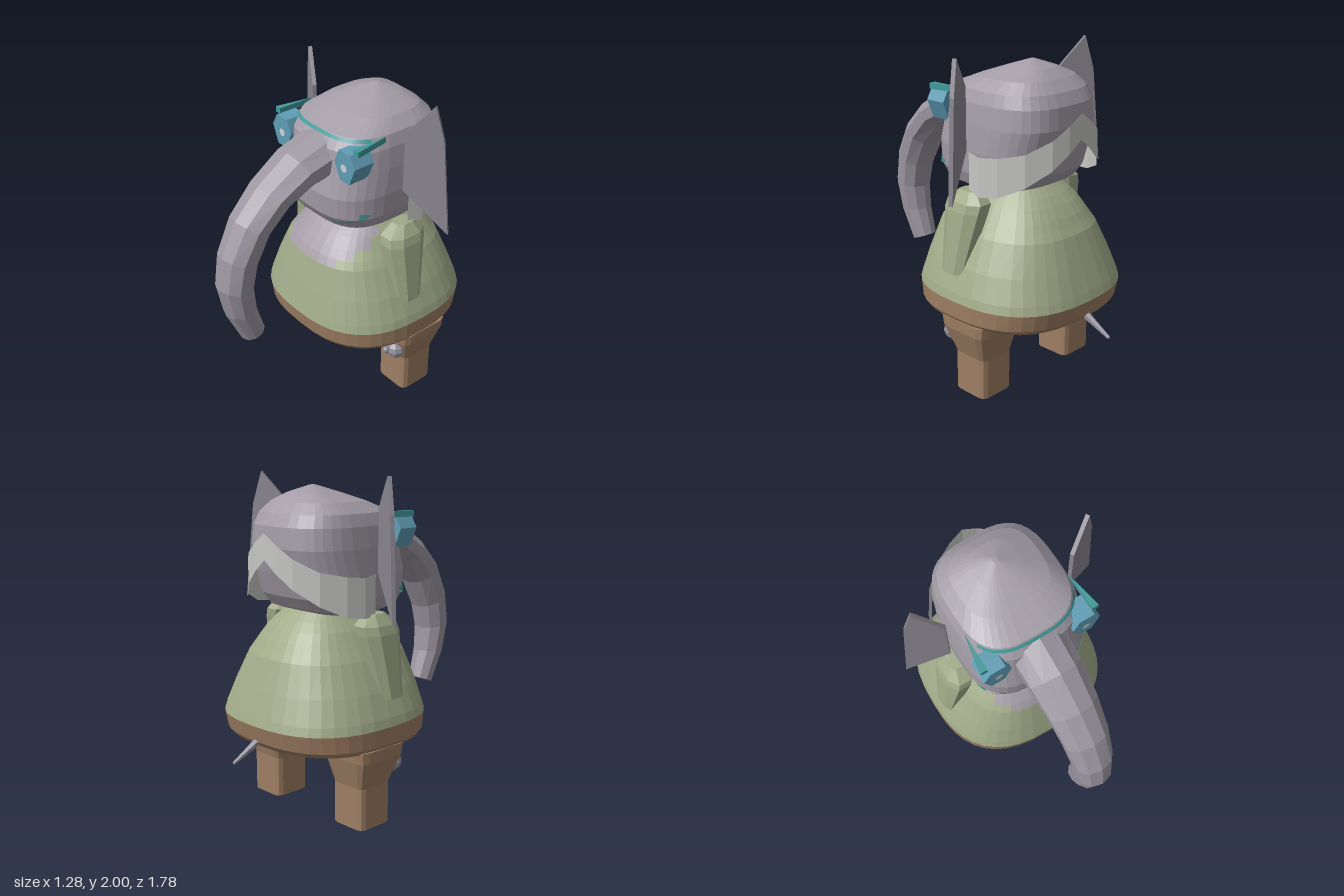
import * as THREE from 'three';

const mat = (name, color, side = THREE.FrontSide) => {
  const m = new THREE.MeshStandardMaterial({ color, side });
  m.name = name;
  return m;
};

// Closed loft through rings of Vector3; pick(row, faceCentre) gives a material index
function loft(rings, pick = () => 0, count = 1) {
  const buckets = Array.from({ length: count }, () => []);
  const add = (row, a, b, c) => {
    const mid = a.clone().add(b).add(c).divideScalar(3);
    buckets[pick(row, mid)].push(...a, ...b, ...c);
  };
  const n = rings[0].length, last = rings.length - 1;
  const centre = r => r.reduce((s, p) => s.add(p), new THREE.Vector3()).divideScalar(n);
  const lo = centre(rings[0]), hi = centre(rings[last]);
  for (let j = 0; j < n; j++) {
    const k = (j + 1) % n;
    add(0, lo, rings[0][k], rings[0][j]);
    for (let i = 0; i < last; i++) {
      const mid = rings[i][j].clone().add(rings[i + 1][k]).multiplyScalar(0.5);
      const tris = [[rings[i][j], rings[i][k], rings[i + 1][k]], [rings[i][j], rings[i + 1][k], rings[i + 1][j]]];
      for (const t of tris) buckets[pick(i, mid)].push(...t.flatMap(p => [...p]));
    }
    add(last, hi, rings[last][j], rings[last][k]);
  }
  const g = new THREE.BufferGeometry();
  g.setAttribute('position', new THREE.Float32BufferAttribute(buckets.flat(), 3));
  let start = 0;
  buckets.forEach((b, i) => { g.addGroup(start, b.length / 3, i); start += b.length / 3; });
  g.computeVertexNormals();
  return g;
}

// Point on a rounded-square section [y, halfX, frontZ, backZ]
function sectionPoint([y, hx, zf, zb], a, n, cx = 0, off = 0) {
  const p = v => Math.sign(v) * Math.abs(v) ** (2 / n);
  return new THREE.Vector3(cx + (hx + off) * p(Math.sin(a)), y, (zf + zb) / 2 + ((zf - zb) / 2 + off) * p(Math.cos(a)));
}
const ring = (sec, sides, n, cx = 0, turn = 0) =>
  Array.from({ length: sides }, (_, j) => sectionPoint(sec, turn + j / sides * Math.PI * 2, n, cx));

// Open band between pairs of points
function band(pairs) {
  const pos = [];
  for (let i = 0; i < pairs.length - 1; i++) {
    const [a, b] = pairs[i], [c, d] = pairs[i + 1];
    for (const p of [a, c, d, a, d, b]) pos.push(...p);
  }
  const g = new THREE.BufferGeometry();
  g.setAttribute('position', new THREE.Float32BufferAttribute(pos, 3));
  g.computeVertexNormals();
  return g;
}

const HEAD = [
  [1.22, 0.29, 0.11, -0.37], [1.25, 0.34, 0.2, -0.45], [1.32, 0.365, 0.245, -0.5], [1.45, 0.37, 0.255, -0.54],
  [1.6, 0.36, 0.22, -0.575], [1.72, 0.345, 0.2, -0.565], [1.79, 0.32, 0.15, -0.53], [1.85, 0.25, 0.0, -0.47],
  [1.9, 0.13, -0.14, -0.4], [1.94, 0.015, -0.26, -0.29],
];
// Point on the head surface at angle a and height y
function headPoint(a, y, off = 0.008) {
  let i = 0;
  while (i < HEAD.length - 2 && HEAD[i + 1][0] < y) i++;
  const t = (y - HEAD[i][0]) / (HEAD[i + 1][0] - HEAD[i][0]);
  return sectionPoint(HEAD[i].map((v, k) => v + (HEAD[i + 1][k] - v) * t), a, 3, 0, off);
}

export function createModel() {
  const root = new THREE.Group();
  root.name = 'elephant';
  const skin = mat('greySkin', 0xa39ca6), ear = mat('earGrey', 0x8c8790), trunkGrey = mat('trunkGrey', 0x9c96a0);
  const green = mat('greenCloth', 0xa0aa88), brown = mat('brownCloth', 0x9e7f63);
  const blue = mat('blueFrame', 0x5f9db5), teal = mat('teal', 0x419a9a, THREE.DoubleSide);
  const pale = mat('paleBand', 0xc6c6c4, THREE.DoubleSide), lens = mat('lens', 0xcfd2d2);
  const metal = mat('bluishGrey', 0x918e9b);
  const add = (name, geo, material, parent = root) => {
    const g = geo.index ? geo.toNonIndexed() : geo;
    g.computeVertexNormals();
    const m = new THREE.Mesh(g, material);
    m.name = name;
    parent.add(m);
    return m;
  };

  // Body: brown hem, green coat, bare chest
  const bodySecs = [
    [0.38, 0.01, -0.19, -0.21], [0.48, 0.535, 0.32, -0.695], [0.51, 0.555, 0.34, -0.72], [0.61, 0.558, 0.357, -0.745],
    [0.66, 0.545, 0.345, -0.73], [0.8, 0.49, 0.31, -0.68], [0.975, 0.405, 0.262, -0.615], [1.02, 0.375, 0.235, -0.585],
    [1.07, 0.34, 0.195, -0.555], [1.13, 0.3, 0.14, -0.51], [1.18, 0.25, 0.075, -0.465], [1.24, 0.19, -0.02, -0.4],
  ];
  const bodyPick = (row, c) => row < 3 ? 1 : row >= 6 && c.z > 0.3 - 1.9 * (c.y - 0.95) ? 2 : 0;
  add('body', loft(bodySecs.map(s => ring(s, 40, 2.6)), bodyPick, 3), [green, brown, skin]);

  // Head
  add('head', loft(HEAD.map(s => ring(s, 36, 3))), skin);

  // Trunk: upper and lower curve [z, y] pairs with half width
  const trunk = [
    [0.165, 1.775, 0.06, 1.51, 0.175], [0.38, 1.705, 0.265, 1.49, 0.17], [0.585, 1.57, 0.43, 1.42, 0.155],
    [0.745, 1.41, 0.56, 1.285, 0.14], [0.85, 1.21, 0.645, 1.115, 0.125], [0.885, 1.01, 0.675, 0.97, 0.115],
    [0.85, 0.81, 0.66, 0.82, 0.1], [0.755, 0.595, 0.61, 0.65, 0.08],
  ].map(([z1, y1, z2, y2, w]) => Array.from({ length: 10 }, (_, j) => {
    const a = j / 10 * Math.PI * 2, c = Math.cos(a) / 2;
    return new THREE.Vector3(-Math.sin(a) * w, (y1 + y2) / 2 + (y1 - y2) * c, (z1 + z2) / 2 + (z1 - z2) * c);
  }));
  add('trunk', loft(trunk), trunkGrey);

  // Band round the back of the head, rising to a peak: [x, z, low, high]
  const half = [
    [0.4, -0.17, 1.22, 1.46], [0.42, -0.27, 1.22, 1.45], [0.39, -0.38, 1.235, 1.46], [0.31, -0.51, 1.3, 1.49],
    [0.19, -0.6, 1.39, 1.56], [0.09, -0.632, 1.47, 1.63], [0, -0.64, 1.54, 1.69],
  ];
  const full = [...half, ...half.slice(0, -1).reverse().map(([x, ...r]) => [-x, ...r])];
  add('headBand', band(full.map(([x, z, lo, hi]) => [new THREE.Vector3(x, lo, z), new THREE.Vector3(x, hi, z)])), pale);

  // Brow stripe across the forehead
  const brow = Array.from({ length: 37 }, (_, i) => {
    const a = (i / 18 - 1) * 1.05;
    return [headPoint(a, 1.772), headPoint(a, 1.79)];
  });
  add('browStripe', band(brow), teal);

  // Tail
  const tail = add('tail', new THREE.CylinderGeometry(0.01, 0.024, 0.185, 6), metal);
  tail.position.set(0, 0.465, -0.805);
  tail.rotation.x = -Math.PI / 2 - 0.48;

  for (const s of [1, -1]) {
    const side = new THREE.Group();
    side.name = s > 0 ? 'leftSide' : 'rightSide';
    root.add(side);

    // Leg: straight post flaring into the body
    const legSecs = [[0, 0.12, -0.12, -0.362], [0.25, 0.12, -0.12, -0.362], [0.42, 0.17, -0.06, -0.405], [0.49, 0.175, -0.05, -0.415]];
    const leg = legSecs.map((sec, i) => ring(sec, 12, 7, s * (i > 1 ? 0.372 : 0.365), Math.PI / 12));
    add('leg', loft(leg), brown, side);

    // Arm: tapered sleeve with a small tip
    const armSecs = [[0.755, 0.055, -0.04, -0.21], [1.12, 0.09, 0.0, -0.285], [1.17, 0.09, -0.01, -0.29], [1.235, 0.05, -0.09, -0.23]];
    const armX = [0.475, 0.395, 0.38, 0.375];
    add('arm', loft(armSecs.map((sec, i) => ring(sec, 8, 2.5, s * armX[i], Math.PI / 8))), green, side);
    const tip = add('handTip', new THREE.ConeGeometry(0.03, 0.07, 5), metal, side);
    tip.position.set(s * 0.48, 0.735, -0.13);
    tip.rotation.x = Math.PI;

    // Ear: thin angled plate
    const earShape = new THREE.Shape([[0, 1.46], [0.275, 1.22], [0.22, 1.8], [0.163, 2], [0, 1.82]]
      .map(([x, y]) => new THREE.Vector2(s * x, y)));
    const earGeo = new THREE.ExtrudeGeometry(earShape, { depth: 0.024, bevelEnabled: false }).translate(0, 0, -0.012);
    const earMesh = add('ear', earGeo, ear, side);
    earMesh.position.set(s * 0.395, 0, -0.13);
    earMesh.rotation.y = s * Math.PI / 6;

    // Eyepiece with lens
    const eye = new THREE.Shape([[-0.085, 0.01], [-0.04, -0.09], [0.04, -0.09], [0.085, 0.02], [0.045, 0.09], [-0.05, 0.09]]
      .map(([x, y]) => new THREE.Vector2(s * x, y)));
    add('eyepiece', new THREE.ExtrudeGeometry(eye, { depth: 0.135, bevelEnabled: false }), blue, side).position.set(s * 0.28, 1.67, 0.07);
    add('lens', new THREE.CircleGeometry(0.025, 8), lens, side).position.set(s * 0.275, 1.665, 0.208);

    // Brow end: wedge beside the head
    const wedge = new THREE.Shape([[0.325, -0.18], [0.365, -0.18], [0.325, 0.05]].map(([x, y]) => new THREE.Vector2(s * x, y)));
    const wedgeMesh = add('browEnd', new THREE.ExtrudeGeometry(wedge, { depth: 0.035, bevelEnabled: false }), teal, side);
    wedgeMesh.rotation.x = -Math.PI / 2;
    wedgeMesh.position.y = 1.755;

    // Cheek marks painted on the head
    const smile = [[0.3, 1.3, 1.305], [0.4, 1.285, 1.297], [0.52, 1.283, 1.296], [0.7, 1.298, 1.308], [0.85, 1.315, 1.322]];
    add('cheekLine', band(smile.map(([a, lo, hi]) => [headPoint(s * a, lo), headPoint(s * a, hi)])), teal, side);
    const spot = [[0.96, 1.32, 1.365], [1.08, 1.33, 1.36], [1.2, 1.345, 1.347]];
    add('cheekSpot', band(spot.map(([a, lo, hi]) => [headPoint(s * a, lo), headPoint(s * a, hi)])), teal, side);

    // Small knobbed ornament on the front of the leg
    const knobs = [[0.447, 0.35, -0.075, 0.06], [0.455, 0.415, -0.08, 0.027], [0.425, 0.36, -0.015, 0.022],
      [0.395, 0.315, -0.05, 0.022], [0.395, 0.355, -0.045, 0.022]];
    for (const [x, y, z, r] of knobs) {
      add('legOrnament', new THREE.SphereGeometry(r, 8, 6), metal, side).position.set(s * x, y, z);
    }
  }
  return root;
}
